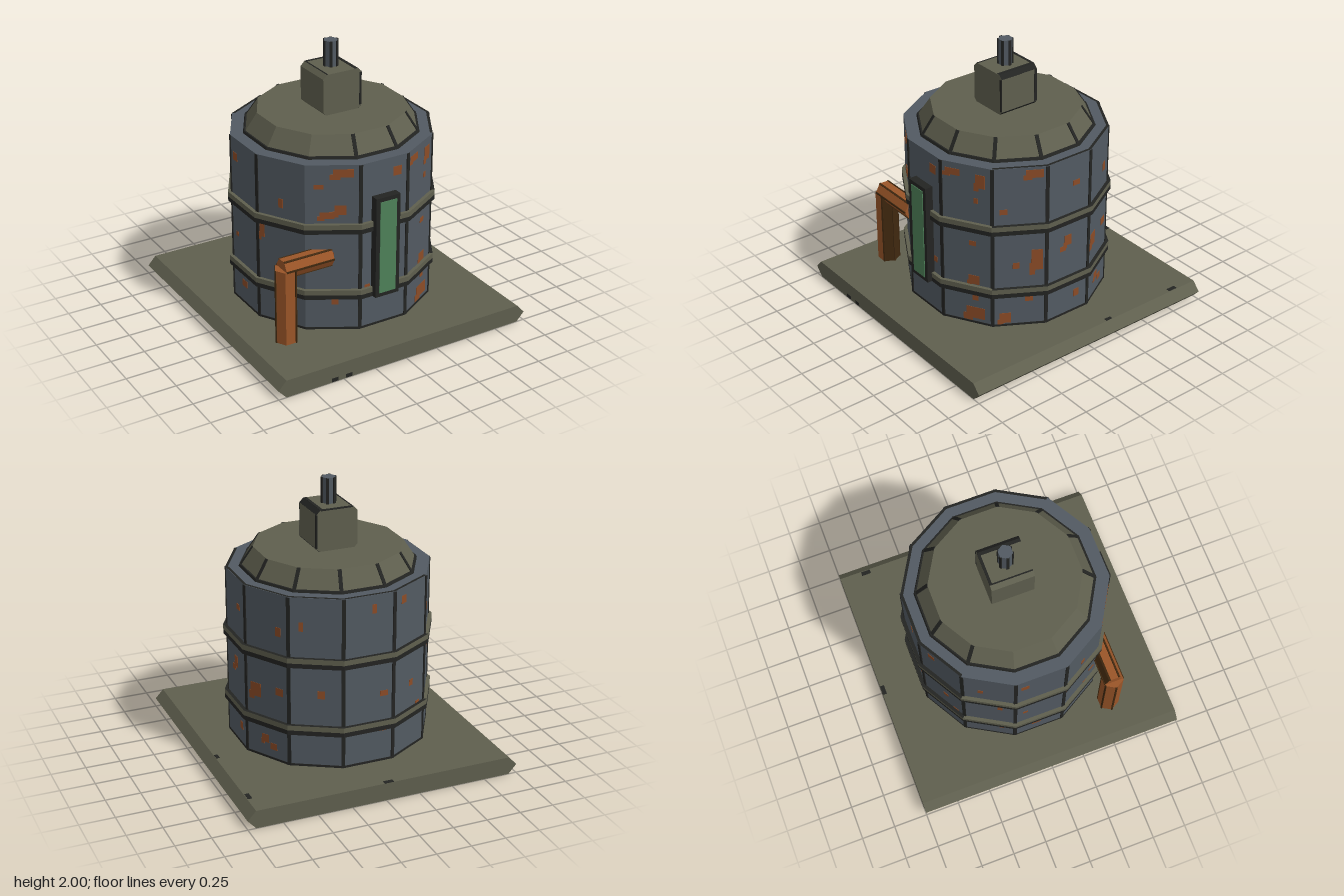
import * as THREE from 'three';

const paint = (name, color, side = THREE.FrontSide) => {
  const m = new THREE.MeshStandardMaterial({ color, side });
  m.name = name;
  return m;
};

export function createModel() {
  const model = new THREE.Group();
  model.name = 'storageTank';
  const steel = paint('blueGreySteel', 0x525a62);
  const olive = paint('oliveMetal', 0x5f5f4e, THREE.DoubleSide);
  const dark = paint('darkEdge', 0x232422);
  const rust = paint('rust', 0x8c4c27);
  const copper = paint('copperPipe', 0x9a5528);
  const brown = paint('brownEdge', 0x40280f);
  const green = paint('greenGlass', 0x4e8159);

  const add = (name, geo, mat, x = 0, y = 0, z = 0, parent = model) => {
    const m = new THREE.Mesh(geo.index ? geo.toNonIndexed() : geo, mat);
    m.geometry.computeVertexNormals();
    m.name = name;
    m.position.set(x, y, z);
    parent.add(m);
    return m;
  };
  const box = (name, mat, x0, x1, y0, y1, z0, z1) =>
    add(name, new THREE.BoxGeometry(x1 - x0, y1 - y0, z1 - z0), mat,
      (x0 + x1) / 2, (y0 + y1) / 2, (z0 + z1) / 2);
  const outline = (points) => new THREE.Shape(points.map(([x, y]) => new THREE.Vector2(x, y)));

  // Twelve-sided drum measured across its flats, with a flat facing front
  const STEP = Math.PI / 6, toCorner = 1 / Math.cos(STEP / 2);
  const drum = (name, mat, flatTop, flatBottom, y0, y1, start = 0, sides = 12) =>
    add(name, new THREE.CylinderGeometry(flatTop * toCorner, flatBottom * toCorner, y1 - y0, sides, 1, false,
      (start + 0.5) * STEP, sides * STEP), mat, 0, (y0 + y1) / 2, 0);

  // Thin strip along a corner of a prism, leaning in when the top is narrower
  const cornerStrip = (name, mat, angle, rTop, rBottom, y0, y1, width, parent = model) => {
    const arm = new THREE.Group();
    arm.name = name;
    arm.rotation.y = angle;
    parent.add(arm);
    const h = y1 - y0, run = rBottom - rTop;
    const strip = add(name + 'Plate', new THREE.BoxGeometry(width, Math.hypot(h, run), 0.009), mat,
      0, (y0 + y1) / 2, (rTop + rBottom) / 2 - 0.002, arm);
    strip.rotation.x = -Math.atan2(run, h);
  };

  // Base: hollow shell, open below, with sharpened left and right edges
  const profile = [[-0.94, 0], [-1, 0.065], [-0.94, 0.13], [0.94, 0.13], [1, 0.065], [0.94, 0]];
  const skin = [];
  for (let i = 0; i < profile.length - 1; i++) {
    const a = profile[i], b = profile[i + 1];
    skin.push(...a, 1, ...b, 1, ...b, -1, ...a, 1, ...b, -1, ...a, -1);
  }
  const shell = new THREE.BufferGeometry();
  shell.setAttribute('position', new THREE.Float32BufferAttribute(skin, 3));
  add('baseShell', shell, olive);
  add('baseFrontWall', new THREE.ShapeGeometry(outline(profile)), olive, 0, 0, 1);
  add('baseBackWall', new THREE.ShapeGeometry(outline(profile)), olive, 0, 0, -1).rotation.y = Math.PI;

  // Worn chips on the base
  for (const [x, z, w, d] of [[-0.02, -0.985, 0.07, 0.03], [0.92, -0.8, 0.03, 0.07], [0.925, -0.19, 0.025, 0.05]]) {
    box('baseChip', dark, x - w / 2, x + w / 2, 0.128, 0.133, z - d / 2, z + d / 2);
  }
  for (const x of [-0.57, -0.46]) box('baseFrontChip', dark, x - 0.025, x + 0.025, 0.002, 0.03, 0.997, 1.001);

  // Tank body with dark seams
  drum('tankBody', steel, 0.695, 0.695, 0.135, 1.38);
  drum('tankFootTrim', dark, 0.698, 0.698, 0.134, 0.15);
  for (let i = 0; i < 12; i++) {
    if (i === 10) continue;
    cornerStrip('tankSeam', dark, (i + 0.5) * STEP, 0.72, 0.72, 0.135, 1.378, 0.026);
  }
  // Worn rim on the far half
  const rim = new THREE.RingGeometry(0.7, 0.72, 6, 1, -Math.PI / 4, Math.PI).rotateX(-Math.PI / 2);
  add('tankRimWear', rim, dark, 0, 1.382, 0);

  // Hoops: olive above, dark below; the far half has a dark top
  for (const y of [0.38, 0.88]) {
    drum('hoopLower', dark, 0.72, 0.72, y, y + 0.033);
    drum('hoopUpperNear', olive, 0.72, 0.72, y + 0.033, y + 0.07, 7, 6);
    drum('hoopUpperFar', [olive, dark, dark], 0.72, 0.72, y + 0.033, y + 0.07, 1, 6);
  }

  // Sloped lid with seams
  drum('lid', olive, 0.51, 0.6, 1.38, 1.52);
  drum('lidTrim', dark, 0.6, 0.607, 1.38, 1.397);
  for (let i = 0; i < 12; i++) {
    if (i >= 8 && i <= 10) continue;
    cornerStrip('lidSeam', dark, (i + 0.5) * STEP, 0.51 * toCorner, 0.6 * toCorner, 1.38, 1.52, 0.026);
  }

  // Cap box with chamfered long edges and worn borders
  const c = 0.03, half = 0.152;
  const capOutline = outline([[c - half, -half], [half - c, -half], [half, c - half], [half, half - c],
    [half - c, half], [c - half, half], [-half, half - c], [-half, c - half]]);
  const capGeometry = new THREE.ExtrudeGeometry(capOutline, { depth: 0.305, bevelEnabled: false });
  add('capBox', capGeometry, olive, 0, 1.664, -0.1525);
  box('capFrontEdge', dark, 0.135, 0.153, 1.545, 1.785, 0.147, 0.154);
  box('capBackEdge', dark, 0.146, 0.154, 1.545, 1.785, -0.154, -0.13);
  box('capTopBackEdge', dark, -0.12, 0.12, 1.811, 1.818, -0.154, -0.135);
  box('capTopRightEdge', dark, 0.1, 0.122, 1.811, 1.818, -0.15, 0.15);
  box('capTopLeftEdge', dark, -0.122, -0.112, 1.811, 1.818, -0.15, 0.15);
  for (const [name, y, tilt] of [['capUpperChamfer', 1.801, -1], ['capLowerChamfer', 1.527, 1]]) {
    add(name, new THREE.BoxGeometry(0.042, 0.005, 0.3), dark, 0.137, y, 0).rotation.z = tilt * Math.PI / 4;
  }

  // Six-sided bar with a chosen material per side and dark corners
  const hexBar = (name, radius, length, spin, sideMats, edgeMat, edgeWidth, edges = 6) => {
    const bar = new THREE.Group();
    bar.name = name;
    const geo = new THREE.CylinderGeometry(radius, radius, length, 6, 1, false, spin);
    geo.clearGroups();
    for (let i = 0; i < 6; i++) geo.addGroup(i * 6, 6, i);
    geo.addGroup(36, 36, 6);
    add(name + 'Body', geo, [...sideMats, sideMats[5]], 0, 0, 0, bar);
    for (let i = 0; i < edges; i++) {
      cornerStrip(name + 'Edge', edgeMat, spin + i * Math.PI / 3, radius, radius,
        -length / 2, length / 2, edgeWidth, bar);
    }
    model.add(bar);
    return bar;
  };
  hexBar('topRod', 0.052, 0.19, STEP, Array(6).fill(steel), dark, 0.02).position.set(-0.002, 1.905, 0);

  // Elbow pipe feeding the tank
  hexBar('uprightPipe', 0.08, 0.555, STEP, [brown, brown, copper, copper, copper, copper], brown, 0.013, 5)
    .position.set(-0.69, 0.4125, 0.56);
  const feed = hexBar('feedPipe', 0.072, 0.37, 0, [copper, copper, brown, copper, brown, copper], brown, 0.013);
  feed.rotation.z = Math.PI / 2;
  feed.position.set(-0.535, 0.692, 0.56);

  // Gauge window
  box('gaugeFrame', dark, -0.1, 0.09, 0.38, 1.13, 0.68, 0.755);
  box('gaugeGlass', green, -0.07, 0.06, 0.41, 1.1, 0.752, 0.76);

  // Rust patch on a facet, counted counter-clockwise from the front
  const rustPatch = (facet, u, y, w, h) => {
    const arm = new THREE.Group();
    arm.name = 'rustPatch';
    arm.rotation.y = facet * STEP;
    add('rustPlate', new THREE.BoxGeometry(w, h, 0.005), rust, u, y, 0.695, arm);
    model.add(arm);
  };
  // Large patches, each with a ragged lower corner
  const large = [
    [11, 0.07, 1.32, 0.14, 0.06], [11, 0.05, 1.05, 0.08, 0.07], [11, -0.04, 1.01, 0.1, 0.05],
    [10, -0.15, 0.82, 0.04, 0.1], [1, -0.1, 1.31, 0.11, 0.05], [1, 0.1, 1.27, 0.07, 0.1],
    [1, 0.06, 0.22, 0.14, 0.09], [1, 0.05, 0.49, 0.08, 0.07], [2, 0.1, 1.33, 0.12, 0.06],
    [2, 0.12, 0.66, 0.08, 0.16], [2, -0.1, 0.2, 0.08, 0.08], [3, 0, 0.74, 0.06, 0.08],
    [4, -0.1, 0.63, 0.09, 0.1], [4, -0.02, 0.28, 0.06, 0.06],
  ];
  for (const [facet, u, y, w, h] of large) {
    rustPatch(facet, u, y, w, h);
    rustPatch(facet, u - w * 0.4, y - h * 0.45, w * 0.5, h * 0.6);
  }

  // Small scattered patches, three in every facet
  let seed = 7;
  const random = () => (seed = (seed * 16807) % 2147483647) / 2147483647;
  for (let i = 0; i < 36; i++) {
    const row = [0.17, 0.5, 1][Math.floor(i / 12)];
    rustPatch(i % 12, (random() - 0.5) * 0.26, row + 0.05 + random() * 0.25,
      0.03 + random() * 0.04, 0.03 + random() * 0.04);
  }
  return model;
}
